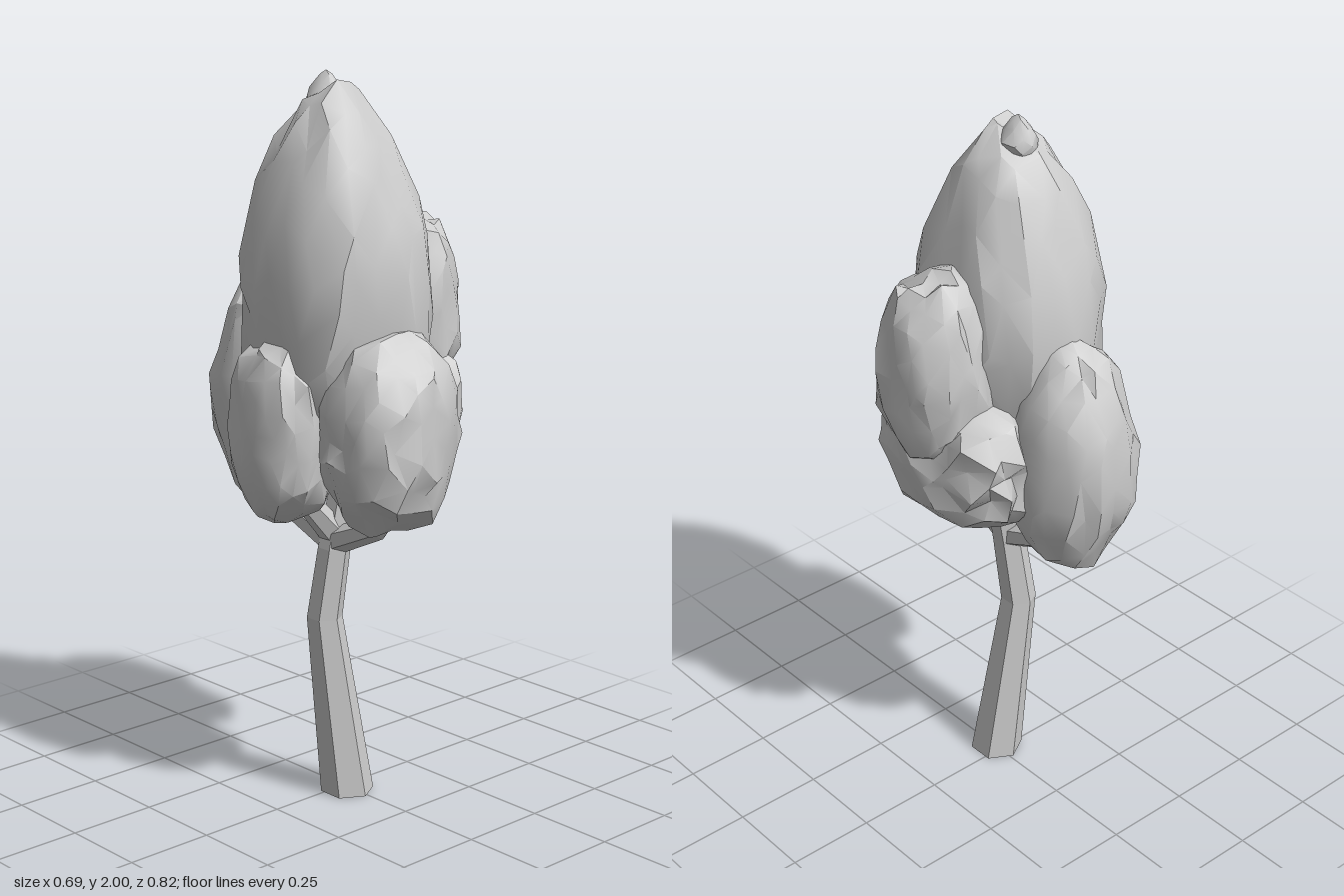
import * as THREE from 'three';
import { mergeVertices, toCreasedNormals } from 'three/addons/utils/BufferGeometryUtils.js';

const material = new THREE.MeshStandardMaterial({ color: 0xcccccc });
const barkMaterial = new THREE.MeshStandardMaterial({ color: 0xcccccc, flatShading: true });

function seeded(seed) {
  let s = seed * 7919 + 17;
  return () => (s = (s * 16807) % 2147483647) / 2147483647;
}

// Tapered limb: rings [x, y, z, radius] joined in order, all facing along one axis
function limb(name, rings, axis, sides) {
  const turn = new THREE.Quaternion().setFromUnitVectors(new THREE.Vector3(0, 1, 0), axis);
  const pos = [], index = [];
  const last = rings.length - 1;
  for (const [x, y, z, r] of rings) {
    for (let i = 0; i < sides; i++) {
      const a = ((i + 0.5) / sides) * Math.PI * 2;
      const p = new THREE.Vector3(Math.cos(a) * r, 0, -Math.sin(a) * r).applyQuaternion(turn);
      pos.push(p.x + x, p.y + y, p.z + z);
    }
  }
  for (let k = 0; k < last; k++) {
    for (let i = 0; i < sides; i++) {
      const a = k * sides + i, b = k * sides + ((i + 1) % sides);
      index.push(a, b, b + sides, a, b + sides, a + sides);
    }
  }
  for (let i = 1; i < sides - 1; i++) {
    index.push(0, i + 1, i);
    index.push(last * sides, last * sides + i, last * sides + i + 1);
  }
  const geo = new THREE.BufferGeometry();
  geo.setAttribute('position', new THREE.Float32BufferAttribute(pos, 3));
  geo.setIndex(index);
  geo.computeVertexNormals();
  const mesh = new THREE.Mesh(geo, barkMaterial);
  mesh.name = name;
  return mesh;
}

// Lumpy leaf mass filling the box min..max; taper narrows the top, power makes it boxier
function foliage({ name, min, max, detail = 3, rough = 0.13, taper = 0, power = 2.4, seed }) {
  let geo = new THREE.IcosahedronGeometry(1, detail);
  geo.deleteAttribute('normal');
  geo.deleteAttribute('uv');
  geo = mergeVertices(geo, 1e-4);
  const rand = seeded(seed), p = geo.attributes.position, v = new THREE.Vector3();
  const shift = () => (rand() - 0.5) * 0.16;
  for (let i = 0; i < p.count; i++) {
    // Uneven spacing gives facets of mixed size
    v.fromBufferAttribute(p, i);
    v.set(v.x + shift(), v.y + shift(), v.z + shift()).normalize();
    const norm = ['x', 'y', 'z'].reduce((s, k) => s + Math.abs(v[k]) ** power, 0) ** (1 / power);
    v.multiplyScalar((1 - rough * rand() ** 1.5) / norm);
    const narrow = 1 - taper * Math.max(v.y, 0) ** 1.3;
    p.setXYZ(i, v.x * narrow, v.y, v.z * narrow);
  }
  // Fit to the wanted box
  geo.computeBoundingBox();
  const lo = geo.boundingBox.min.toArray(), hi = geo.boundingBox.max.toArray();
  const scale = lo.map((l, k) => (max[k] - min[k]) / (hi[k] - l));
  geo.translate(-lo[0], -lo[1], -lo[2]).scale(...scale).translate(...min);
  const mesh = new THREE.Mesh(toCreasedNormals(geo, 0.55), material);
  mesh.name = name;
  return mesh;
}

export function createModel() {
  const tree = new THREE.Group();
  tree.name = 'tree';

  // Bent six-sided trunk
  tree.add(limb('trunk', [
    [-0.01, 0, 0.025, 0.075],
    [-0.074, 0.52, 0.003, 0.05],
    [-0.055, 0.72, 0.022, 0.046],
    [-0.025, 0.9, 0.03, 0.04],
    [-0.05, 1.1, 0.02, 0.025],
  ], new THREE.Vector3(0, 1, 0), 6));

  // Branches reaching into each leaf mass
  const branches = [
    ['frontBranch', [-0.055, 0.74, 0.03], [-0.06, 0.81, 0.2], [-0.06, 0.92, 0.3]],
    ['backBranch', [-0.055, 0.74, 0.01], [-0.06, 0.8, -0.15], [-0.06, 0.9, -0.25]],
    ['leftBranch', [-0.04, 0.8, 0.025], [0.06, 0.9, 0.03], [0.18, 1.05, 0.02]],
    ['rightBranch', [-0.055, 0.76, 0.02], [-0.15, 0.86, 0.02], [-0.24, 1.0, 0.01]],
  ];
  for (const [name, a, b, c] of branches) {
    const axis = new THREE.Vector3(...c).sub(new THREE.Vector3(...a)).normalize();
    tree.add(limb(name, [[...a, 0.04], [...b, 0.032], [...c, 0.018]], axis, 6));
  }

  // Leaf masses: tall crown with smaller ones clustered round it
  const masses = [
    { name: 'crown', min: [-0.29, 0.96, -0.245], max: [0.175, 1.98, 0.29], taper: 0.42, rough: 0.1, seed: 3 },
    { name: 'crownTip', min: [-0.1, 1.86, -0.07], max: [0, 2, 0.045], detail: 1, taper: 0.6, power: 2, seed: 4 },
    { name: 'frontFoliage', min: [-0.25, 0.81, 0.07], max: [0.125, 1.35, 0.412], seed: 5 },
    { name: 'backFoliage', min: [-0.225, 0.76, -0.412], max: [0.115, 1.47, -0.03], taper: 0.15, power: 2.1, seed: 8 },
    { name: 'rightFoliage', min: [-0.347, 0.82, -0.145], max: [-0.08, 1.34, 0.155], power: 2.6, seed: 11 },
    { name: 'leftUpperFoliage', min: [0.03, 1.08, -0.135], max: [0.348, 1.64, 0.19], taper: 0.15, seed: 14 },
    { name: 'leftLowerFoliage', min: [-0.02, 0.9, -0.25], max: [0.3, 1.3, 0.25], rough: 0.18, power: 2.7, seed: 17 },
  ];
  for (const m of masses) tree.add(foliage(m));

  return tree;
}
